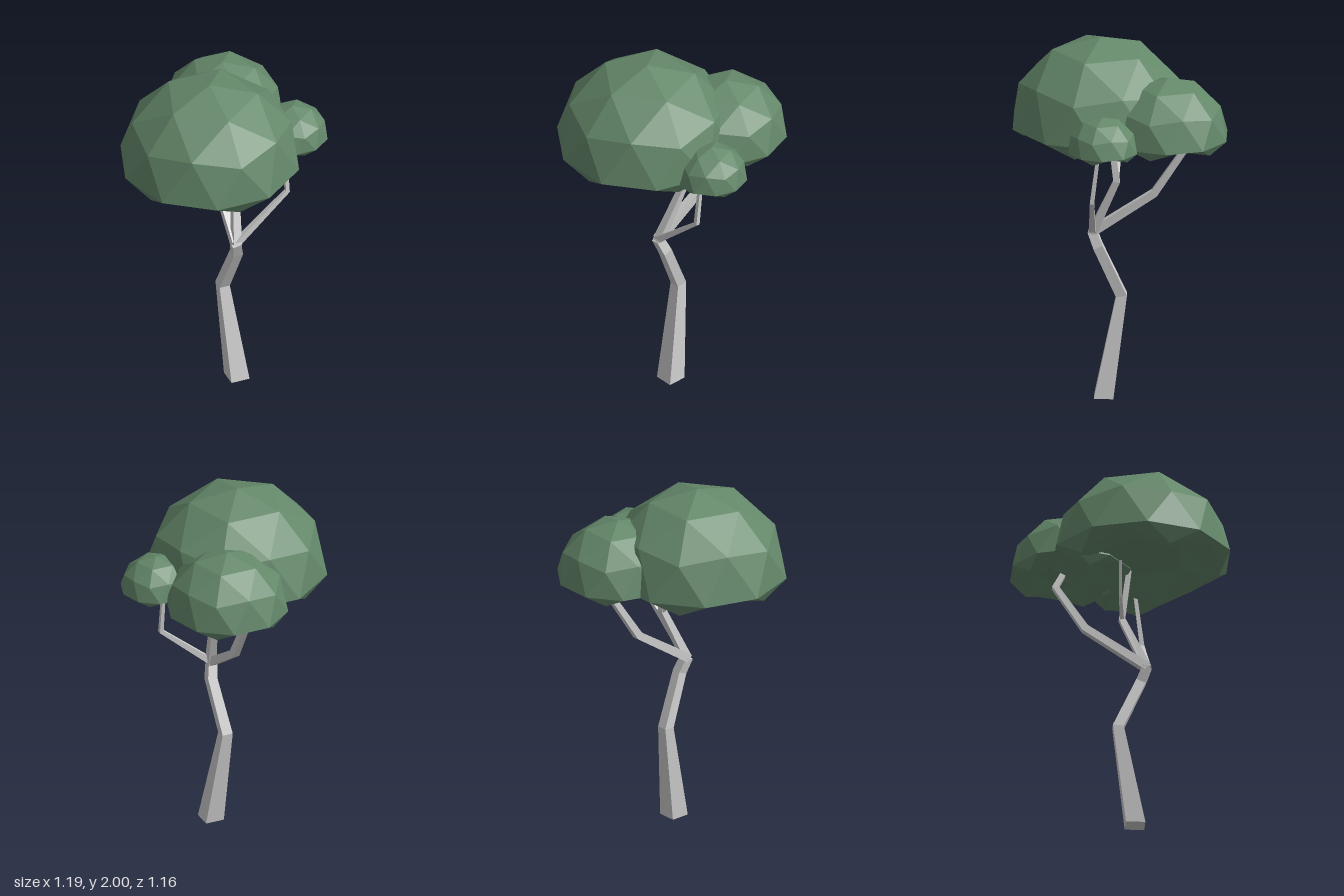
import * as THREE from 'three';

const bark = new THREE.MeshStandardMaterial({ color: 0xcccccc, flatShading: true });
const leaf = new THREE.MeshStandardMaterial({ color: 0x64886a, flatShading: true });

// Square-section limb through stations [x, y, z, halfWidth]
function limb(name, stations, upright = false) {
  const pts = stations.map(([x, y, z]) => new THREE.Vector3(x, y, z));
  const last = pts.length - 1;
  const rings = pts.map((p, i) => {
    const t = new THREE.Vector3();
    if (i > 0) t.add(p.clone().sub(pts[i - 1]).normalize());
    if (i < last) t.add(pts[i + 1].clone().sub(p).normalize());
    if (upright && i === 0) t.set(0, 1, 0);
    t.normalize();
    const u = new THREE.Vector3(1, 0, 0);
    u.addScaledVector(t, -u.dot(t)).normalize();
    const v = new THREE.Vector3().crossVectors(t, u);
    const h = stations[i][3];
    return [[-1, -1], [1, -1], [1, 1], [-1, 1]].map(([a, b]) =>
      p.clone().addScaledVector(u, a * h).addScaledVector(v, b * h));
  });
  const pos = [];
  const quad = (a, b, c, d) => [a, b, c, a, c, d].forEach(q => pos.push(q.x, q.y, q.z));
  for (let i = 0; i < last; i++) {
    for (let k = 0; k < 4; k++) {
      const n = (k + 1) % 4;
      quad(rings[i][k], rings[i][n], rings[i + 1][n], rings[i + 1][k]);
    }
  }
  const [a, b, c, d] = rings[0];
  quad(d, c, b, a);
  quad(...rings[last]);
  const geo = new THREE.BufferGeometry();
  geo.setAttribute('position', new THREE.Float32BufferAttribute(pos, 3));
  geo.computeVertexNormals();
  const mesh = new THREE.Mesh(geo, bark);
  mesh.name = name;
  return mesh;
}

// Faceted dome: the lower half of an icosphere is folded up into a scalloped underside
function foliage(name, x, z, r) {
  const geo = new THREE.IcosahedronGeometry(1, 1);
  geo.rotateZ(Math.atan(2 / (1 + Math.sqrt(5))));
  geo.rotateY(Math.PI / 2);
  const p = geo.attributes.position;
  for (let i = 0; i < p.count; i++) {
    const y = p.getY(i);
    if (y > -0.1) continue;
    if (Math.abs(y + 0.526) < 0.03) p.setY(i, -0.175); // hanging scallops
    else if (Math.abs(y + 0.851) < 0.03) p.setY(i, 0.02); // inner ring
    else p.setY(i, 0);
  }
  geo.scale(r, r * 0.97, r);
  geo.computeVertexNormals();
  const mesh = new THREE.Mesh(geo, leaf);
  mesh.name = name;
  mesh.position.set(x, 1.515, z);
  return mesh;
}

export function createModel() {
  const tree = new THREE.Group();
  tree.name = 'tree';

  // Trunk and branches
  tree.add(
    limb('trunk', [[0.068, 0, 0.088, 0.053], [0.025, 0.565, -0.007, 0.03],
      [0.055, 0.85, 0.118, 0.027], [0.035, 0.935, 0.152, 0.025]], true),
    limb('leftBranch', [[0.035, 0.93, 0.152, 0.018], [0.34, 1.195, 0.145, 0.012],
      [0.338, 1.56, 0.1, 0.009]]),
    limb('middleBranch', [[0.04, 0.925, 0.152, 0.024], [0.085, 1.235, 0.018, 0.018],
      [0.07, 1.56, 0.06, 0.014]]),
    limb('twig', [[0.085, 1.225, 0.018, 0.011], [0, 1.335, 0.005, 0.008],
      [-0.07, 1.53, 0, 0.007]]),
    limb('backBranch', [[0.035, 0.93, 0.152, 0.024], [0.052, 1.16, -0.185, 0.021],
      [0.062, 1.405, -0.345, 0.019], [0.068, 1.54, -0.275, 0.015]])
  );

  // Canopy
  tree.add(
    foliage('largeCanopy', -0.1, 0.11, 0.497),
    foliage('mediumCanopy', 0.13, -0.26, 0.337),
    foliage('smallCanopy', 0.397, 0.085, 0.195)
  );
  return tree;
}
